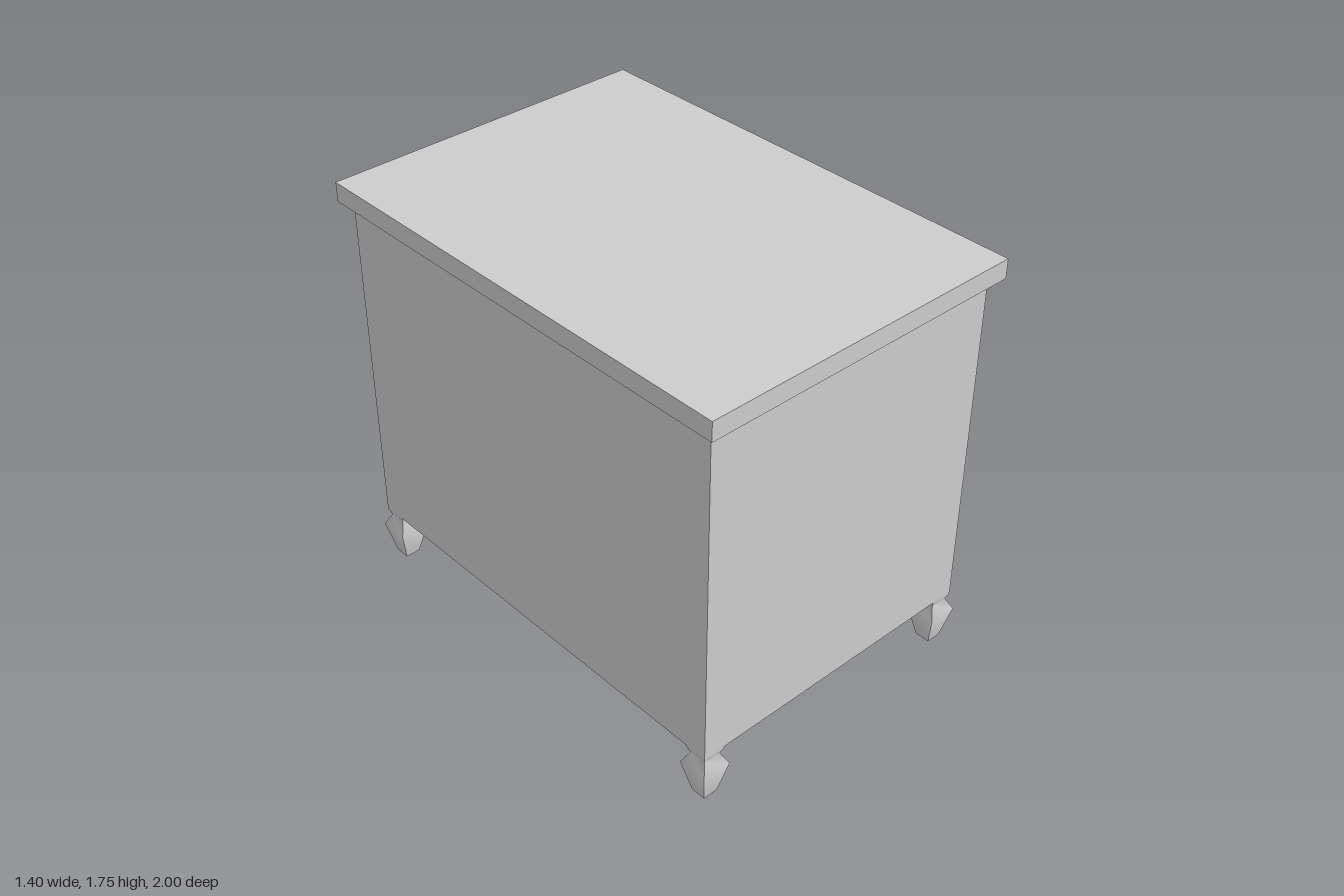
import * as THREE from 'three';
import { toCreasedNormals } from 'three/addons/utils/BufferGeometryUtils.js';

const material = new THREE.MeshStandardMaterial({ color: 0xcccccc });

function part(name, geometry, parent, x = 0, y = 0, z = 0) {
  const mesh = new THREE.Mesh(geometry, material);
  mesh.name = name;
  mesh.position.set(x, y, z);
  parent.add(mesh);
  return mesh;
}

// Rectangle outline, wide along z once the extrusion is turned
function rectangle(Type, halfWidth, bottom, top) {
  return new Type([
    new THREE.Vector2(-halfWidth, bottom),
    new THREE.Vector2(halfWidth, bottom),
    new THREE.Vector2(halfWidth, top),
    new THREE.Vector2(-halfWidth, top),
  ]);
}

export function createModel() {
  const model = new THREE.Group();
  model.name = 'cabinet';

  const bottom = 0.225, top = 1.67, halfX = 0.66, halfZ = 0.955, backThickness = 0.06;

  // Carcass with two open compartments facing +x
  const outline = rectangle(THREE.Shape, halfZ, bottom, top);
  for (const y of [0.285, 1.005]) {
    outline.holes.push(rectangle(THREE.Path, 0.89, y, y + 0.6));
  }
  const carcass = new THREE.ExtrudeGeometry(outline, {
    depth: 2 * halfX - backThickness,
    bevelEnabled: false,
  });
  carcass.rotateY(Math.PI / 2);
  part('carcass', carcass, model, -halfX + backThickness);

  // Panel closing the far side of the compartments
  part('backPanel', new THREE.BoxGeometry(backThickness, top - bottom, 2 * halfZ), model,
    -halfX + backThickness / 2, (top + bottom) / 2);

  // Overhanging top
  part('topBoard', new THREE.BoxGeometry(1.4, 0.08, 2), model, 0, 1.71);

  // Square turned legs: [half width, height]
  const profile = [
    [0, 0], [0.032, 0], [0.063, 0.14], [0.037, 0.19], [0.047, 0.215], [0.047, bottom], [0, bottom],
  ].map(([w, y]) => new THREE.Vector2(w * Math.SQRT2, y));
  const leg = toCreasedNormals(new THREE.LatheGeometry(profile, 4).rotateY(Math.PI / 4), 1);
  for (const sx of [-1, 1]) {
    for (const sz of [-1, 1]) {
      part(`${sz > 0 ? 'front' : 'back'}${sx > 0 ? 'Left' : 'Right'}Leg`, leg, model,
        sx * 0.612, 0, sz * 0.907);
    }
  }

  return model;
}
